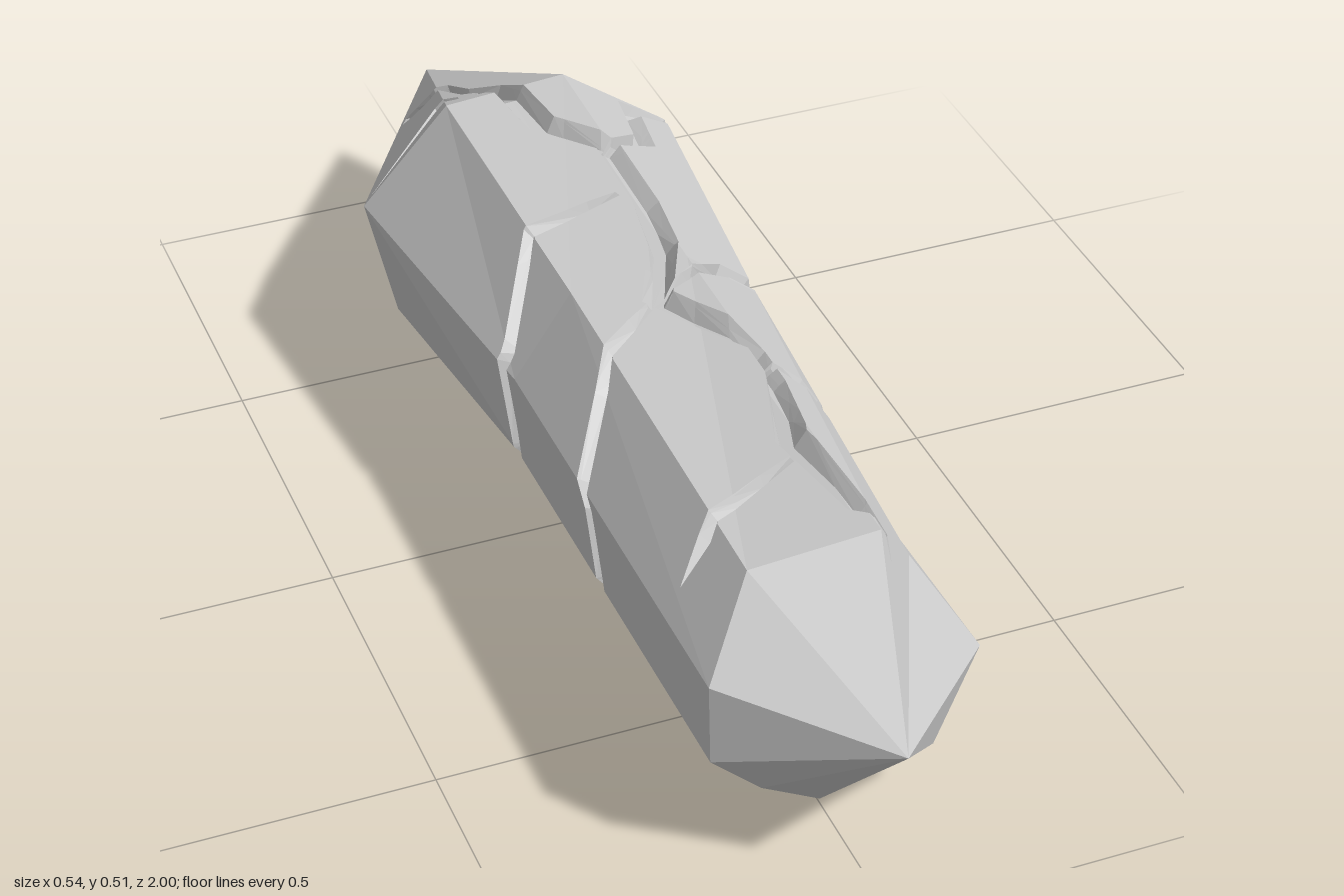
import * as THREE from 'three';

const SIDES = 9, STEP = 0.16, AXIS_Y = 0.27;

// Cross-sections [x, y, z], clockwise seen from the front, starting at the top.
const FRONT = [[0.065, 0.5, 0.77], [0.145, 0.38, 0.7], [0.235, 0.235, 0.76], [0.155, 0.1, 0.79], [-0.03, 0.072, 0.81],
  [-0.125, 0.132, 0.82], [-0.203, 0.205, 0.82], [-0.207, 0.34, 0.82], [-0.12, 0.46, 0.74]];
const MIDDLE = [[0.07, 0.495, 0.05], [0.185, 0.4, 0.05], [0.23, 0.22, 0.05], [0.157, 0.095, 0.07], [-0.04, 0.063, 0.08],
  [-0.13, 0.125, 0.06], [-0.207, 0.2, 0.05], [-0.21, 0.338, 0.05], [-0.118, 0.475, 0.05]];
const BACK = [[0.07, 0.512, -0.49], [0.238, 0.405, -0.46], [0.268, 0.195, -0.5], [0.15, 0.038, -0.5], [-0.06, 0, -0.42],
  [-0.155, 0.055, -0.45], [-0.235, 0.145, -0.46], [-0.27, 0.325, -0.51], [-0.13, 0.497, -0.49]];
const FRONT_TIP = [0.01, 0.293, 1], BACK_TIP = [0, 0.25, -1];

// Crack paths as [side index, z] points on the unrolled surface.
const CRACKS = [
  // top, running lengthwise
  [[-1.9, -0.78], [-0.9, -0.71], [-0.5, -0.55], [-0.4, -0.38], [0, -0.28], [0, -0.12], [-0.1, 0], [-0.4, 0.12],
    [0.1, 0.3], [0.1, 0.37], [-0.15, 0.52], [0, 0.7], [0.25, 0.78]],
  // around the waist
  [[-0.4, 0.12], [0.6, 0.03], [2, 0.02], [3, 0.07], [3.5, 0.07]],
  [[-0.2, -0.15], [-1, -0.12], [-1.9, 0], [-3, 0.05], [-4, 0.08], [-5.4, 0.08]],
  // branches on the left
  [[0.1, 0.33], [0.9, 0.36], [1.4, 0.36], [1.6, 0.28], [2.1, 0.21], [3, 0.24]],
  [[1.9, 0.37], [3, 0.42], [3.5, 0.42]],
  [[0, -0.28], [0.5, -0.34], [0.6, -0.45], [1.3, -0.46]],
  [[-0.9, -0.71], [0, -0.77]],
  // branches on the right
  [[-0.45, -0.52], [-1.1, -0.56], [-1.9, -0.52]],
  [[-1.1, -0.56], [-1.6, -0.67]],
  [[-0.4, 0.12], [-1.3, 0.25], [-2.2, 0.36], [-3, 0.4], [-4, 0.46]],
  [[-0.2, 0.56], [-1.2, 0.63], [-1.7, 0.65]],
  // underside
  [[3.5, 0.72], [3.3, 0.45], [3.7, 0.25], [3.4, 0.07], [3.8, -0.12], [3.5, -0.3], [3.9, -0.45], [3.4, -0.58], [3.7, -0.72]],
  [[3.9, -0.45], [4.6, -0.52]],
];

const mix = (a, b, t) => a.map((v, i) => v + (b[i] - v) * t);

// Faceted body as triangles; each vertex is [x, y, z, unrolled u, groove depth].
function bodyFaces() {
  const rings = [
    FRONT.map(() => FRONT_TIP), FRONT, MIDDLE, BACK,
    BACK.map((p, j) => {
      const q = mix(p, BACK_TIP, 0.5);
      if (j > 2 && j < 6) q[1] -= 0.012;
      return q;
    }),
    BACK.map(() => BACK_TIP),
  ];
  const faces = [];
  const vert = (i, j) => [...rings[i][j % SIDES], j * STEP, 0];
  for (let i = 0; i < rings.length - 1; i++) {
    for (let j = 0; j < SIDES; j++) {
      const a = vert(i, j), b = vert(i, j + 1), c = vert(i + 1, j + 1), d = vert(i + 1, j);
      if (i > 0) faces.push(i < rings.length - 2 ? [a, b, c] : [a, b, d]);
      if (i < rings.length - 2) faces.push([a, c, d]);
    }
  }
  return faces;
}

// Split a convex polygon by a linear function into [inside, outside].
function split(poly, f) {
  const inside = [], outside = [];
  poly.forEach((p, k) => {
    const q = poly[(k + 1) % poly.length], fp = f(p), fq = f(q);
    if (fp >= 0) inside.push(p);
    if (fp <= 0) outside.push(p);
    if (fp * fq < 0) {
      const m = mix(p, q, fp / (fp - fq));
      inside.push(m);
      outside.push(m);
    }
  });
  return [inside, outside];
}

// Lower the part of the surface under one unrolled triangle of [u, z, depth] corners.
function carve(faces, tri) {
  const cross = (a, b, u, z) => (b[0] - a[0]) * (z - a[1]) - (b[1] - a[1]) * (u - a[0]);
  let area = cross(tri[0], tri[1], tri[2][0], tri[2][1]);
  if (Math.abs(area) < 1e-8) return faces;
  const t = area > 0 ? tri : [tri[0], tri[2], tri[1]];
  area = Math.abs(area);
  const us = t.map((p) => p[0]), zs = t.map((p) => p[1]);
  const result = [];
  for (const face of faces) {
    const apart = face.every((p) => p[3] <= Math.min(...us)) || face.every((p) => p[3] >= Math.max(...us)) ||
      face.every((p) => p[2] <= Math.min(...zs)) || face.every((p) => p[2] >= Math.max(...zs));
    if (apart) { result.push(face); continue; }
    let rest = face;
    const pieces = [];
    for (let k = 0; k < 3 && rest.length > 2; k++) {
      const [inside, outside] = split(rest, (p) => {
        const s = cross(t[k], t[(k + 1) % 3], p[3], p[2]);
        return Math.abs(s) < 1e-9 ? 0 : s;
      });
      if (outside.length > 2) pieces.push(outside);
      rest = inside;
    }
    if (rest.length < 3) { result.push(face); continue; }
    result.push(...pieces, rest.map((p) => {
      let depth = p[4];
      for (let k = 0; k < 3; k++) depth += t[k][2] * cross(t[(k + 1) % 3], t[(k + 2) % 3], p[3], p[2]) / area;
      return [p[0], p[1], p[2], p[3], depth];
    }));
  }
  return result;
}

// Mitred groove along a path: sloping wall, floor, sloping wall, tapering at its ends.
function crackTriangles(path, halfWidth, depth) {
  const pts = path.map(([j, z]) => new THREE.Vector2(j * STEP, z));
  const last = pts.length - 1;
  const rows = pts.map((p, i) => {
    const before = p.clone().sub(pts[Math.max(i - 1, 0)]).normalize();
    const after = pts[Math.min(i + 1, last)].clone().sub(p).normalize();
    const dir = before.clone().add(after).normalize();
    const end = i === 0 || i === last;
    const miter = end ? 1 : Math.min(1 / Math.max(dir.dot(after), 0.6), 1.5);
    const w = halfWidth * miter * (i === last ? 0.05 : i === 0 ? 0.5 : 1);
    return [-1, -0.45, 0.45, 1].map((s) =>
      [p.x - dir.y * w * s, p.y + dir.x * w * s, end || Math.abs(s) === 1 ? 0 : depth]);
  });
  // reach full depth soon after the start
  if (rows.length > 2) {
    rows.splice(1, 0, rows[0].map((p, k) => {
      const q = mix(p, rows[1][k], 0.3);
      q[2] = rows[1][k][2];
      return q;
    }));
  }
  const tris = [];
  for (let i = 0; i < rows.length - 1; i++) {
    for (let k = 0; k < 3; k++) {
      const a = rows[i][k], b = rows[i][k + 1], c = rows[i + 1][k + 1], d = rows[i + 1][k];
      tris.push([a, b, c], [a, c, d]);
    }
  }
  return tris;
}

export function createModel() {
  let faces = bodyFaces();
  const turn = SIDES * STEP;
  CRACKS.forEach((path, n) => {
    const main = path.length > 8;
    for (const tri of crackTriangles(path, main ? 0.02 : 0.016, main ? 0.026 : 0.02)) {
      for (const shift of [-turn, 0, turn]) {
        const moved = tri.map(([u, z, d]) => [u + shift, z, d]);
        if (moved.every((p) => p[0] < 0) || moved.every((p) => p[0] > turn)) continue;
        faces = carve(faces, moved);
      }
    }
  });

  // Push grooved points towards the long axis and fan out each face.
  const positions = [];
  for (const face of faces) {
    const pts = face.map(([x, y, z, , depth]) => {
      const r = Math.hypot(x, y - AXIS_Y) || 1, s = Math.max(0, 1 - depth / r);
      return [x * s, AXIS_Y + (y - AXIS_Y) * s, z];
    });
    for (let k = 1; k < pts.length - 1; k++) positions.push(...pts[0], ...pts[k], ...pts[k + 1]);
  }
  const geometry = new THREE.BufferGeometry();
  geometry.setAttribute('position', new THREE.Float32BufferAttribute(positions, 3));
  geometry.computeVertexNormals();

  const crystal = new THREE.Mesh(geometry, new THREE.MeshStandardMaterial({ color: 0xcccccc, flatShading: true }));
  crystal.name = 'crackedCrystal';
  const group = new THREE.Group();
  group.name = 'crystalShard';
  group.add(crystal);
  return group;
}
